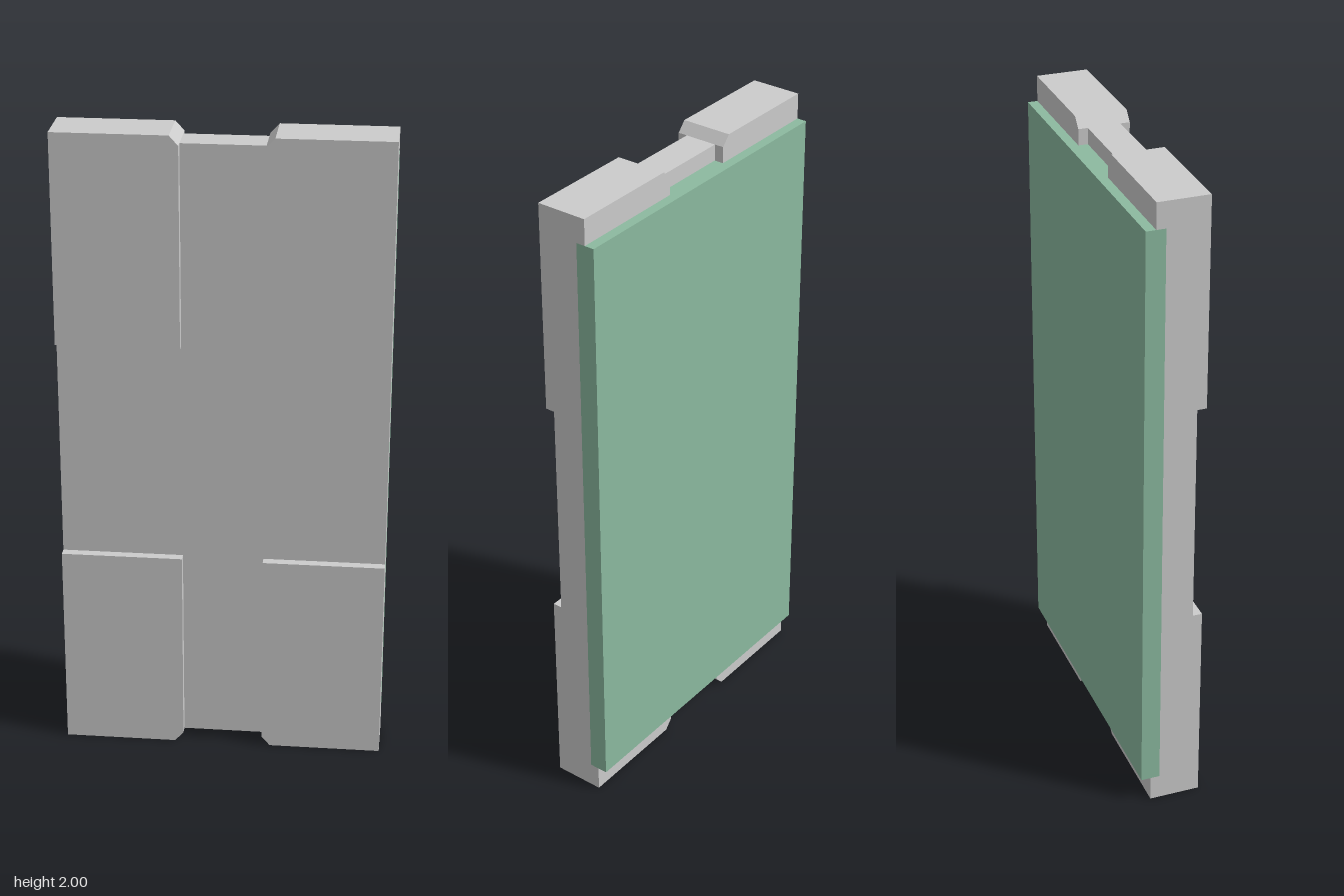
import * as THREE from 'three';

export function createModel() {
  const group = new THREE.Group();
  const grey = new THREE.MeshStandardMaterial({ color: 0xcccccc, flatShading: true });
  const green = new THREE.MeshStandardMaterial({ color: 0x8cbaa0, flatShading: true });

  // Extrude an xy outline (relative to mid-height) between two depths
  function plate(name, points, z0, z1, material, parent = group) {
    const shape = new THREE.Shape(points.map(([x, y]) => new THREE.Vector2(x, y)));
    const geometry = new THREE.ExtrudeGeometry(shape, { depth: z1 - z0, bevelEnabled: false });
    geometry.translate(0, 1, z0);
    const mesh = new THREE.Mesh(geometry, material);
    mesh.name = name;
    parent.add(mesh);
  }

  const W = 0.5, IN = 0.125, PAD = 0.348, CORE = 0.97, LIP = 0.92;

  // Cross-shaped core slab between the corner pads
  plate('coreSlab', [
    [-IN, -CORE], [IN, -CORE], [IN, -PAD], [W, -PAD], [W, PAD], [IN, PAD],
    [IN, CORE], [-IN, CORE], [-IN, PAD], [-W, PAD], [-W, -PAD], [-IN, -PAD],
  ], -0.035, 0.065, grey);

  // Four thick corner pads, each with a chamfered inner corner and a rear lip
  for (const sx of [-1, 1]) {
    for (const sy of [-1, 1]) {
      const corner = new THREE.Group();
      corner.name = `${sy > 0 ? 'upper' : 'lower'}${sx > 0 ? 'Left' : 'Right'}Corner`;
      const outline = (y) => [
        [IN, y], [W, y], [W, 1], [0.152, 1], [IN, CORE],
      ].map(([px, py]) => [sx * px, sy * py]);
      plate('cornerPad', outline(PAD), -0.035, 0.094, grey, corner);
      plate('rearLip', outline(LIP), -0.064, -0.035, grey, corner);
      group.add(corner);
    }
  }

  // Green panel on the back
  plate('backPanel', [[-W, -LIP], [W, -LIP], [W, LIP], [-W, LIP]], -0.094, -0.035, green);

  return group;
}
